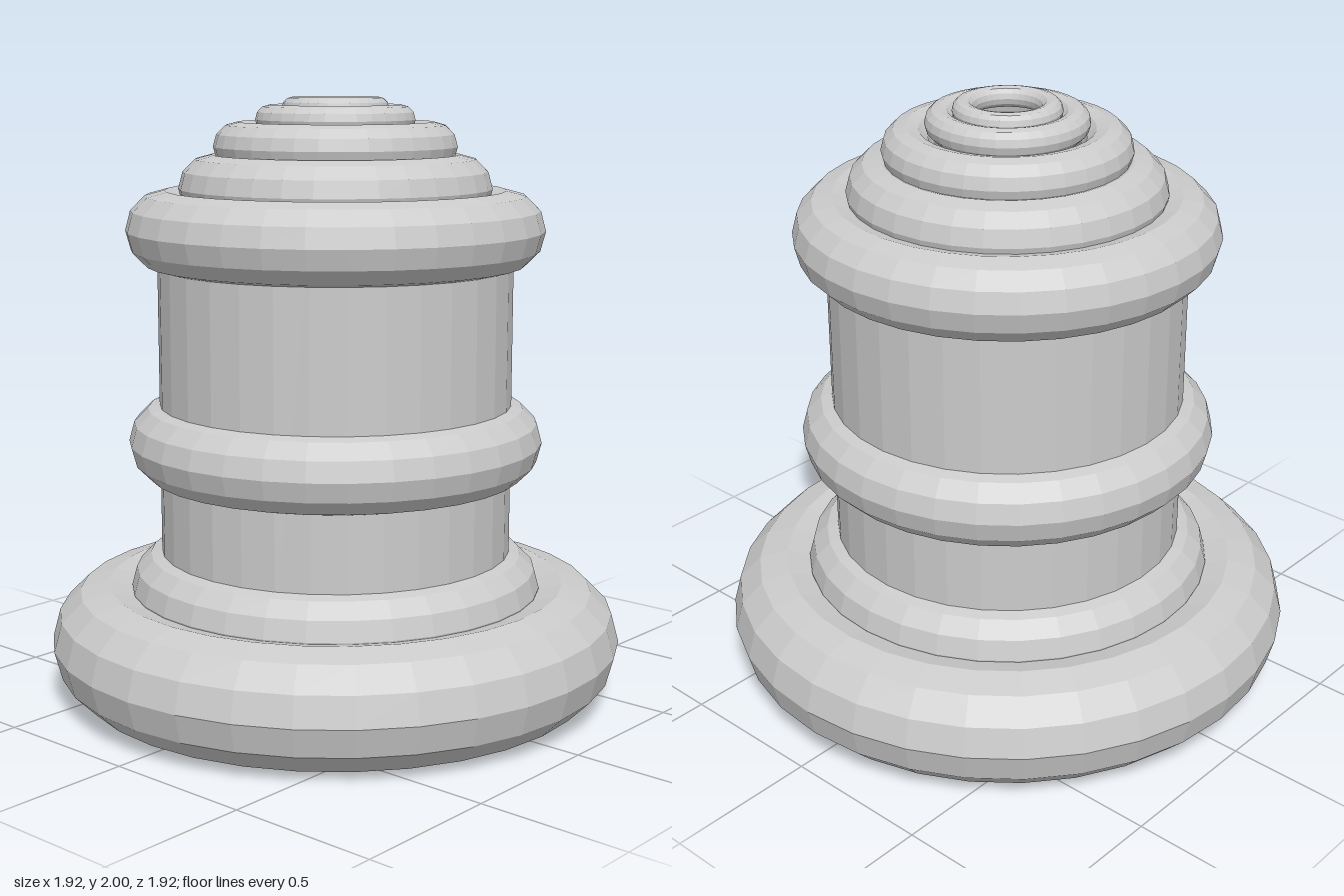
import * as THREE from 'three';

const SIDES = 32;

export function createModel() {
  const model = new THREE.Group();
  const material = new THREE.MeshStandardMaterial({ color: 0xcccccc, flatShading: true });
  const thin = new THREE.MeshStandardMaterial({ color: 0xcccccc, flatShading: true, side: THREE.DoubleSide });

  const add = (name, geometry, mat, y) => {
    const mesh = new THREE.Mesh(geometry, mat);
    mesh.name = name;
    mesh.position.y = y;
    model.add(mesh);
  };

  // Rounded rings: name, outer radius, tube radius, centre height
  const rings = [
    ['baseRing', 0.96, 0.193, 0.193],
    ['footRing', 0.69, 0.13, 0.37],
    ['middleRing', 0.69, 0.13, 0.868],
    ['upperRing', 0.69, 0.13, 1.57],
    ['capRingLarge', 0.515, 0.11, 1.705],
    ['capRingMedium', 0.4, 0.08, 1.84],
    ['capRingSmall', 0.262, 0.048, 1.927],
    ['capRingTip', 0.175, 0.035, 1.965],
  ];
  for (const [name, outer, tube, y] of rings) {
    const geometry = new THREE.TorusGeometry(outer - tube, tube, 12, SIDES).rotateX(-Math.PI / 2);
    add(name, geometry, material, y);
  }

  // Hollow body, open below and closed under the cap rings
  const bottom = 0.37, top = 1.6, radius = 0.587;
  const wall = new THREE.CylinderGeometry(radius, radius, top - bottom, SIDES, 1, true);
  add('bodyWall', wall, thin, (top + bottom) / 2);
  add('bodyLid', new THREE.CircleGeometry(radius, SIDES).rotateX(-Math.PI / 2), thin, top);

  return model;
}
